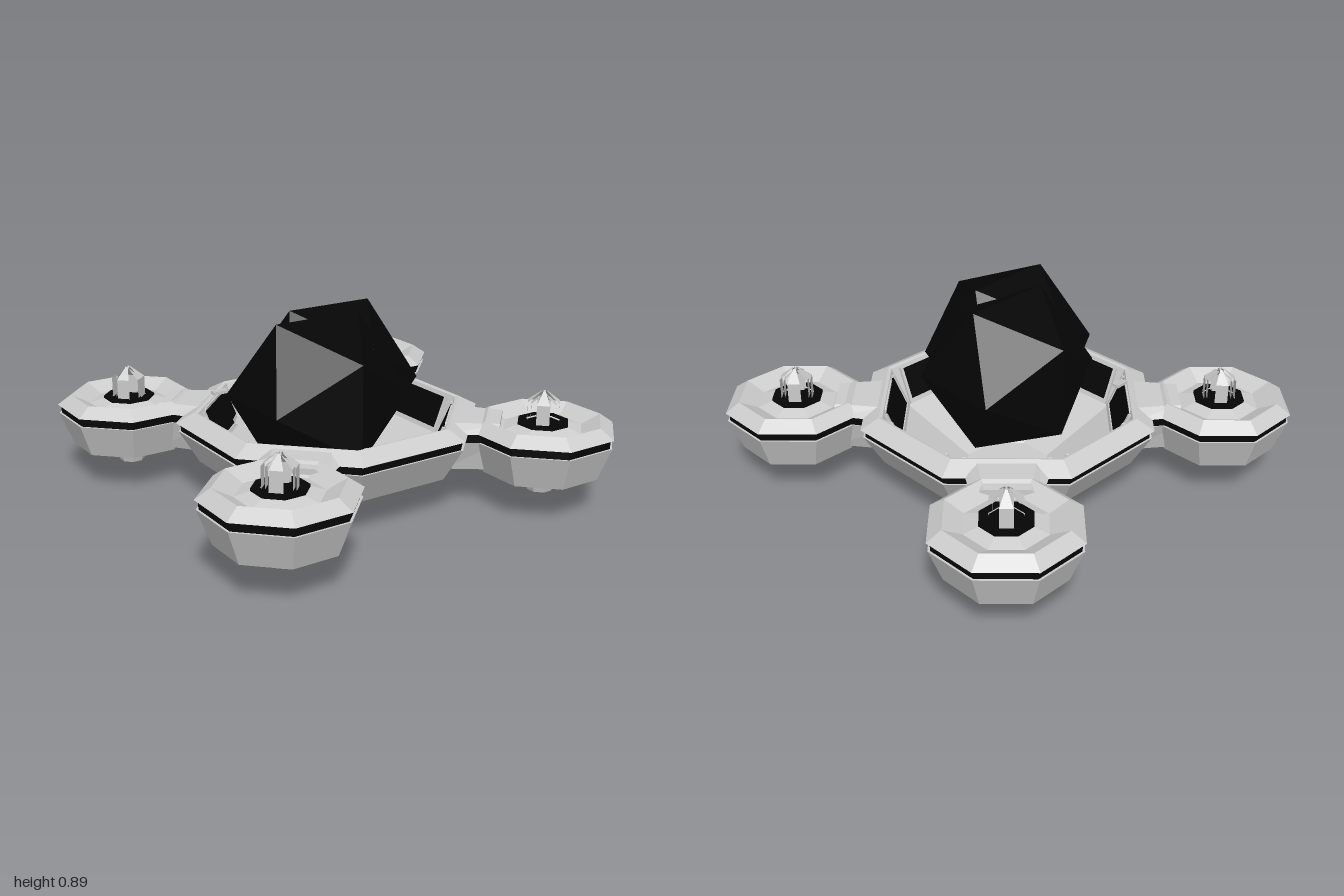
import * as THREE from 'three';

const EIGHTH = Math.PI / 4;
const FLAT = 1 / Math.cos(Math.PI / 8); // flat-to-flat radius -> corner radius

const grey = new THREE.MeshStandardMaterial({ color: 0xcccccc, flatShading: true, side: THREE.DoubleSide });
const black = new THREE.MeshStandardMaterial({ color: 0x050505, flatShading: true, side: THREE.DoubleSide });

function add(parent, name, geometry, material, x = 0, y = 0, z = 0) {
  const mesh = new THREE.Mesh(geometry, material);
  mesh.name = name;
  mesh.position.set(x, y, z);
  parent.add(mesh);
  return mesh;
}

// Eight-sided turned shape; the profile gives [distance to the flat side, height]
function octagon(profile, sides = 8) {
  const points = profile.map(([r, y]) => new THREE.Vector2(r * FLAT, y));
  return new THREE.LatheGeometry(points, sides, Math.PI / 8, sides * EIGHTH);
}

// Slab of an arm along z: half width wLow at yLow, wHigh at yHigh, narrower at the pod
function armSlab(wLow, yLow, wHigh, yHigh) {
  const geometry = new THREE.BoxGeometry(2, 1, 0.24);
  const p = geometry.attributes.position;
  for (let i = 0; i < p.count; i++) {
    const high = p.getY(i) > 0;
    const taper = p.getZ(i) > 0 ? 0.75 : 1;
    p.setX(i, p.getX(i) * (high ? wHigh : wLow) * taper);
    p.setY(i, high ? yHigh : yLow);
  }
  return geometry;
}

function createArm() {
  const arm = new THREE.Group();
  arm.name = 'arm';
  add(arm, 'armBody', armSlab(0.14, 0.19, 0.19, 0.33), grey);
  add(arm, 'armBand', armSlab(0.185, 0.33, 0.185, 0.37), black);
  add(arm, 'armTop', armSlab(0.195, 0.37, 0.13, 0.405), grey);
  arm.position.z = 0.67;
  return arm;
}

function createPod() {
  const pod = new THREE.Group();
  pod.name = 'pod';
  // Body with a recessed underside
  add(pod, 'podBody', octagon([[0.105, 0.24], [0.25, 0.175], [0.305, 0.33], [0.295, 0.33]]), grey);
  add(pod, 'podBand', octagon([[0.295, 0.33], [0.295, 0.37]]), black);
  // Rim with a groove running round the collar
  add(pod, 'podRim', octagon([[0.295, 0.37], [0.31, 0.37], [0.25, 0.415], [0.17, 0.37], [0.11, 0.39]]), grey);
  add(pod, 'podCollar', octagon([[0.11, 0.385], [0.11, 0.4], [0.073, 0.4]]), black);
  add(pod, 'postCore', octagon([[0.075, 0.392], [0, 0.392]]), black);
  // Four prongs on the diagonal sides, meeting at a point
  for (let i = 0; i < 4; i++) {
    const prong = octagon([
      [0.055, 0.39], [0.07, 0.39], [0.07, 0.49], [0.012, 0.54], [0.008, 0.525], [0.055, 0.48], [0.055, 0.39],
    ], 1);
    add(pod, 'prong', prong, grey).rotation.y = i * Math.PI / 2;
  }
  add(pod, 'nozzle', octagon([[0.04, 0.075], [0.055, 0.075], [0.085, 0.18], [0.105, 0.24]]), grey);
  add(pod, 'nozzleHole', octagon([[0, 0.08], [0.045, 0.08]]), black);
  return pod;
}

function createHull() {
  const hull = new THREE.Group();
  hull.name = 'hull';
  add(hull, 'hullShell', octagon([
    [0.18, 0], [0.19, 0], [0.38, 0.145], [0.56, 0.175], [0.645, 0.33], [0.635, 0.33],
  ]), grey);
  add(hull, 'hullBand', octagon([[0.635, 0.33], [0.635, 0.37]]), black);
  add(hull, 'bottomPlate', octagon([[0, 0.002], [0.18, 0.002]]), black);
  // Rim, inner wall and bowl-shaped floor
  add(hull, 'hullRim', octagon([
    [0.635, 0.37], [0.655, 0.37], [0.575, 0.415], [0.56, 0.41], [0.485, 0.23], [0.19, 0.02], [0, 0.02],
  ]), grey);
  // Dark panels with grey frames on the inner wall
  for (let i = 0; i < 8; i++) {
    const bay = new THREE.Group();
    bay.name = 'wallBay';
    bay.rotation.y = i * EIGHTH;
    const panel = new THREE.Group();
    panel.name = 'wallPanel';
    panel.position.set(0, 0.32, 0.522);
    panel.rotation.x = 0.39;
    add(panel, 'darkPanel', new THREE.BoxGeometry(0.35, 0.155, 0.012), black);
    add(panel, 'panelSill', new THREE.BoxGeometry(0.38, 0.02, 0.025), grey, 0, -0.085, 0);
    for (const s of [-1, 1]) {
      add(panel, 'panelPost', new THREE.BoxGeometry(0.015, 0.17, 0.025), grey, s * 0.182, 0, 0);
    }
    bay.add(panel);
    hull.add(bay);
  }
  return hull;
}

export function createModel() {
  const model = new THREE.Group();
  model.name = 'saucerCraft';
  model.add(createHull());

  // Four pods on short tapered arms
  for (let i = 0; i < 4; i++) {
    const corner = new THREE.Group();
    corner.name = 'corner';
    corner.rotation.y = EIGHTH + i * Math.PI / 2;
    corner.add(createArm());
    model.add(corner);

    const pod = createPod();
    pod.position.set(i % 2 ? 0.69 : -0.69, 0, i < 2 ? 0.69 : -0.69);
    model.add(pod);
  }

  // Two overlapping dark domes
  add(model, 'dome', new THREE.IcosahedronGeometry(0.402, 0), black, 0, 0.545, 0);
  add(model, 'offsetDome', new THREE.IcosahedronGeometry(0.402, 0), black, -0.175, 0.545, 0.172);

  // Small fittings around the cockpit
  add(model, 'consoleDisc', new THREE.CylinderGeometry(0.06, 0.075, 0.03, 8), grey, -0.41, 0.42, -0.03);
  for (let i = -1; i <= 1; i++) {
    add(model, 'rimFitting', new THREE.BoxGeometry(0.07, 0.015, 0.008), grey, -0.385, 0.448, -0.35 + i * 0.012);
  }
  return model;
}
